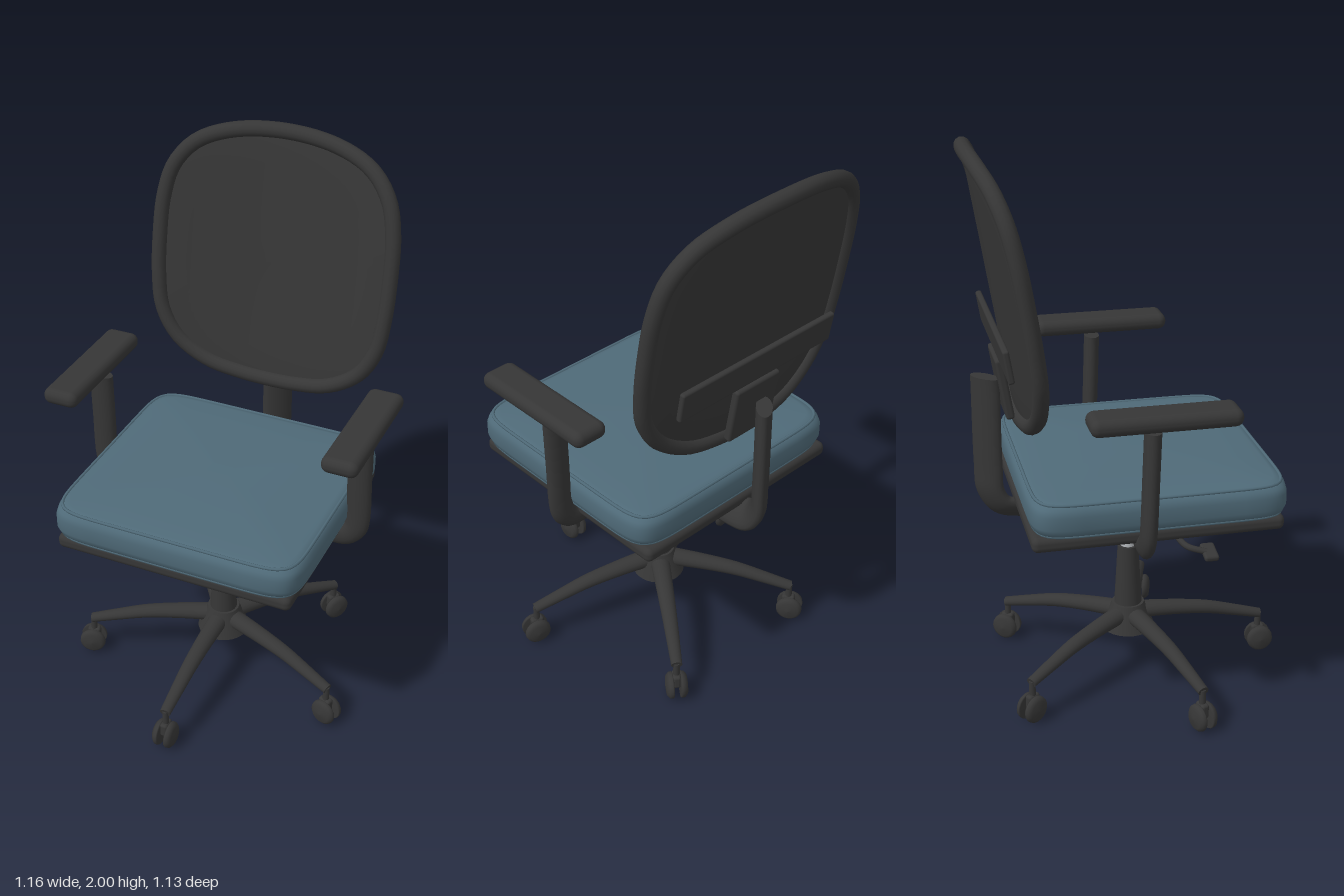
import * as THREE from 'three';
import { RoundedBoxGeometry } from 'three/addons/geometries/RoundedBoxGeometry.js';

const V = (x, y, z) => new THREE.Vector3(x, y, z);

export function createModel() {
  const model = new THREE.Group();
  const paint = (name, color) => {
    const m = new THREE.MeshStandardMaterial({ color });
    m.name = name;
    return m;
  };
  const plastic = paint('charcoal plastic', 0x363636);
  const fabric = paint('blue grey fabric', 0x4f6a78);
  const metal = paint('light metal', 0xb8bcc0);

  const add = (name, geometry, material = plastic, x = 0, y = 0, z = 0, parent = model) => {
    const mesh = new THREE.Mesh(geometry, material);
    mesh.name = name;
    mesh.position.set(x, y, z);
    parent.add(mesh);
    return mesh;
  };
  const box = (w, h, d, r) => new RoundedBoxGeometry(w, h, d, 3, r);

  // Closed skin over a stack of rings, each running anticlockwise about the stack direction
  function skin(rings) {
    const n = rings[0].length, pos = [], index = [];
    const push = (p) => pos.push(p.x, p.y, p.z) / 3 - 1;
    rings.forEach((ring) => ring.forEach(push));
    for (let i = 0; i < rings.length - 1; i++) {
      for (let j = 0; j < n; j++) {
        const a = i * n + j, b = i * n + (j + 1) % n;
        index.push(a, b, a + n, b, b + n, a + n);
      }
    }
    [rings[0], rings[rings.length - 1]].forEach((ring, end) => {
      const mid = ring.reduce((s, p) => s.add(p), V(0, 0, 0)).divideScalar(n);
      const c = push(mid), ids = ring.map(push);
      ids.forEach((id, j) => {
        const next = ids[(j + 1) % n];
        if (end) index.push(c, id, next);
        else index.push(c, next, id);
      });
    });
    const g = new THREE.BufferGeometry();
    g.setAttribute('position', new THREE.Float32BufferAttribute(pos, 3));
    g.setIndex(index);
    g.computeVertexNormals();
    return g;
  }

  // Elliptical section swept along a path lying square to "side"
  function sweep(points, side, a, b, { twist = 0, taper = 1, steps = 24 } = {}) {
    const curve = new THREE.CatmullRomCurve3(points, false, 'centripetal');
    const rings = [];
    for (let i = 0; i <= steps; i++) {
      const u = i / steps, k = 1 + (taper - 1) * u;
      const p = curve.getPoint(u), t = curve.getTangent(u);
      const n = t.clone().cross(side).normalize();
      const ring = [];
      for (let j = 0; j < 16; j++) {
        const q = j / 16 * Math.PI * 2;
        const e = Math.cos(q) * a * k, f = Math.sin(q) * b * k;
        ring.push(p.clone()
          .addScaledVector(side, e * Math.cos(twist) - f * Math.sin(twist))
          .addScaledVector(n, e * Math.sin(twist) + f * Math.cos(twist)));
      }
      rings.push(ring);
    }
    return skin(rings);
  }

  // Five-star base with twin-wheel casters
  const wheelProfile = [[0, -0.014], [0.047, -0.014], [0.05, -0.009], [0.048, 0.002], [0.036, 0.012], [0, 0.016]]
    .map(([r, y]) => new THREE.Vector2(r, y));
  for (let i = 0; i < 5; i++) {
    const leg = new THREE.Group();
    leg.name = 'baseLeg';
    leg.rotation.y = i * Math.PI * 2 / 5;
    model.add(leg);
    add('legArm', sweep([V(0, 0.225, 0.05), V(0, 0.218, 0.17), V(0, 0.203, 0.3), V(0, 0.177, 0.41), V(0, 0.15, 0.515)],
      V(1, 0, 0), 0.037, 0.032, { taper: 0.55 }), plastic, 0, 0, 0, leg);
    add('casterStem', new THREE.CylinderGeometry(0.012, 0.012, 0.1, 12), plastic, 0, 0.105, 0.51, leg);
    add('casterHood', box(0.03, 0.055, 0.05, 0.01), plastic, 0, 0.075, 0.51, leg);
    for (const s of [-1, 1]) {
      const wheel = add('casterWheel', new THREE.LatheGeometry(wheelProfile, 20), plastic, s * 0.026, 0.05, 0.515, leg);
      wheel.rotation.z = -s * Math.PI / 2;
    }
  }
  add('baseHub', new THREE.CylinderGeometry(0.06, 0.098, 0.1, 24), plastic, 0, 0.217, 0);
  add('columnSleeve', new THREE.CylinderGeometry(0.038, 0.052, 0.25, 24), plastic, 0, 0.375, 0);
  add('gasLift', new THREE.CylinderGeometry(0.028, 0.028, 0.18, 24), metal, 0, 0.57, 0);

  // Tilt mechanism, tension knob and height lever
  add('tiltMechanism', box(0.32, 0.08, 0.37, 0.018), plastic, 0, 0.675, 0.005);
  const knob = add('tensionKnob', new THREE.CylinderGeometry(0.054, 0.054, 0.07, 20), plastic, 0, 0.655, 0.22);
  knob.rotation.x = Math.PI / 2;
  const leverPath = new THREE.CatmullRomCurve3(
    [V(-0.14, 0.685, 0.1), V(-0.38, 0.685, 0.1), V(-0.43, 0.685, 0.115), V(-0.455, 0.675, 0.17)], false, 'centripetal');
  add('leverRod', new THREE.TubeGeometry(leverPath, 24, 0.011, 8), plastic);
  add('leverPaddle', box(0.085, 0.022, 0.05, 0.009), plastic, -0.45, 0.67, 0.18).rotation.z = 0.2;

  // Seat pan and crowned cushion
  add('seatPan', box(0.88, 0.055, 0.87, 0.022), plastic, 0, 0.745, 0.015);
  const seatRing = (inset, y) => {
    const ring = [];
    for (let j = 0; j < 72; j++) {
      const q = j / 72 * Math.PI * 2;
      const pw = (v) => Math.sign(v) * Math.abs(v) ** 0.2;
      ring.push(V((0.465 - inset) * pw(Math.sin(q)), y, 0.027 + (0.447 - inset) * pw(Math.cos(q))));
    }
    return ring;
  };
  const cushionProfile = [[0.05, 0.764], [0.022, 0.768], [0.008, 0.782], [0, 0.805], [0, 0.85], [0.006, 0.872],
    [0.02, 0.887], [0.04, 0.892], [0.12, 0.899], [0.25, 0.906], [0.42, 0.91]];
  add('seatCushion', skin(cushionProfile.map(([inset, y]) => seatRing(inset, y))), fabric);
  for (const [inset, y] of [[0.018, 0.887], [0.015, 0.776]]) {
    const seam = new THREE.CatmullRomCurve3(seatRing(inset, y), true);
    add('cushionPiping', new THREE.TubeGeometry(seam, 144, 0.006, 6, true), fabric);
  }

  // Armrests
  for (const s of [-1, 1]) {
    add('armPad', box(0.13, 0.06, 0.5, 0.028), plastic, s * 0.515, 1.195, 0.004);
    add('armPost', sweep([V(s * 0.5, 1.15, -0.03), V(s * 0.5, 0.97, -0.036), V(s * 0.5, 0.8, -0.042),
      V(s * 0.49, 0.755, -0.043), V(s * 0.455, 0.72, -0.043), V(s * 0.38, 0.715, -0.043)],
      V(0, 0, 1), 0.028, 0.045));
  }

  // Backrest: rounded outline bent over a leaning, curved surface
  const backZ = (x, y) => -0.395 - 0.16 * (y - 1.06) + 0.3 * x * x;
  const half = [[0.11, 1.064], [0.24, 1.092], [0.355, 1.168], [0.418, 1.275], [0.438, 1.4], [0.442, 1.55],
    [0.434, 1.7], [0.403, 1.815], [0.33, 1.9], [0.2, 1.952]];
  const outline = [[0, 1.058], ...half, [0, 1.972], ...half.map(([x, y]) => [-x, y]).reverse()];
  const frameCurve = new THREE.CatmullRomCurve3(outline.map(([x, y]) => V(x, y, backZ(x, y))), true);
  add('backFrame', new THREE.TubeGeometry(frameCurve, 96, 0.028, 12, true));

  const rim = frameCurve.getPoints(64).slice(0, 64);
  const panelRing = (k, dz) => rim.map((p) => {
    const x = p.x * k, y = 1.515 + (p.y - 1.515) * k;
    return V(x, y, backZ(x, y) + dz);
  });
  const scales = [0.05, 0.25, 0.5, 0.75, 1];
  add('backPanel', skin([
    ...scales.map((k) => panelRing(k, -0.005)),
    ...scales.slice().reverse().map((k) => panelRing(k, 0.005)),
  ]));

  // Back support: cross bar, mounting plate and curved upright
  add('backCrossBar', box(0.7, 0.115, 0.022, 0.008), plastic, 0, 1.342, -0.466).rotation.x = -0.16;
  add('backMountPlate', box(0.2, 0.22, 0.03, 0.01), plastic, 0, 1.175, -0.447).rotation.x = -0.16;
  add('backUpright', sweep([V(0, 0.692, -0.1), V(0, 0.692, -0.25), V(0, 0.692, -0.39), V(0, 0.71, -0.46),
    V(0, 0.77, -0.498), V(0, 0.86, -0.503), V(0, 1.195, -0.503)],
    V(1, 0, 0), 0.06, 0.028, { twist: Math.PI / 4, steps: 36 }));

  return model;
}
